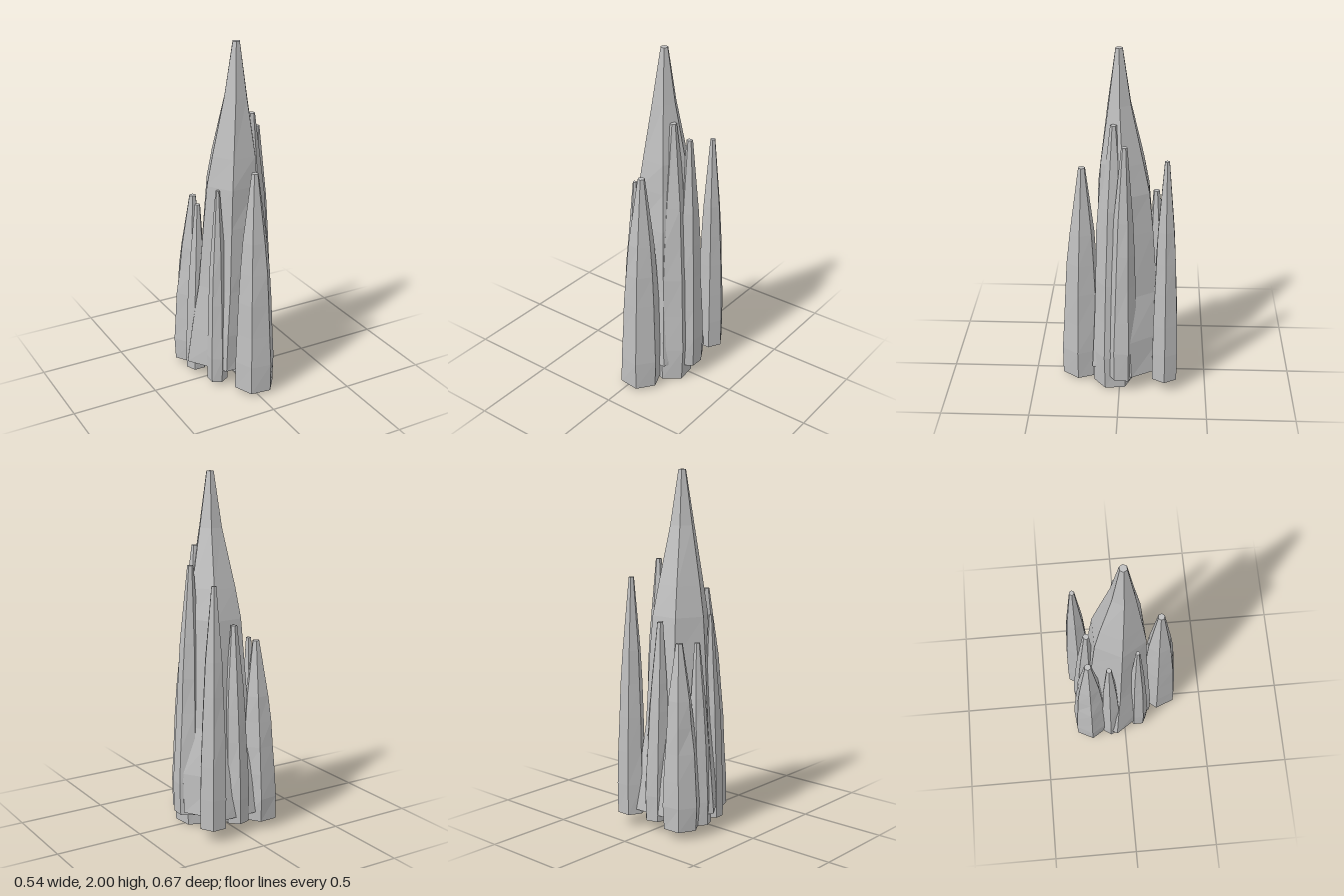
import * as THREE from 'three';

// Small seeded generator for the rough facets
function seeded(seed) {
  let s = seed;
  return () => {
    s = (s * 16807) % 2147483647;
    return s / 2147483647 - 0.5;
  };
}

// Rings of the narrow spires: [share of height, share of radius]
const SLIM = [[0, 0.98], [0.13, 1], [0.27, 0.91], [0.42, 0.82], [0.56, 0.7], [0.7, 0.54], [1, 0]];
// Rings of the great central spire
const GREAT = [[0, 1], [0.12, 0.92], [0.26, 0.78], [0.46, 0.67], [0.58, 0.59], [0.67, 0.49], [0.84, 0.21], [1, 0]];

// Six-sided spire: base centre, tip centre, heights, radii and twist in degrees
function spireGeometry({ base, tip, y0, y1, r, rTip, twist, rings = SLIM, rough = 0.1 }, seed) {
  const rand = seeded(seed);
  const n = rings.length - 1;
  const jitter = rings.map((_, k) =>
    Array.from({ length: 6 }, () => (k === n ? 1 : 1 + rough * rand())));
  const geo = new THREE.CylinderGeometry(1, 1, 1, 6, n, false, Math.PI / 6);
  const p = geo.attributes.position;
  for (let i = 0; i < p.count; i++) {
    const k = Math.round((p.getY(i) + 0.5) * n);
    const [h, share] = rings[k];
    const angle = Math.atan2(p.getZ(i), p.getX(i));
    const side = (Math.round(angle / (Math.PI / 3)) + 6) % 6;
    const out = Math.hypot(p.getX(i), p.getZ(i)) * (rTip + (r - rTip) * share) * jitter[k][side];
    const a = angle + THREE.MathUtils.degToRad(twist);
    const lean = 1 - share * share; // the axis leans in as the spire narrows
    p.setXYZ(i,
      base[0] + (tip[0] - base[0]) * lean + out * Math.cos(a),
      y0 + (y1 - y0) * h,
      base[1] + (tip[1] - base[1]) * lean + out * Math.sin(a));
  }
  const flat = geo.toNonIndexed(); // one normal per facet
  flat.computeVertexNormals();
  return flat;
}

export function createModel() {
  const group = new THREE.Group();
  group.name = 'rockSpires';
  const stone = new THREE.MeshStandardMaterial({ color: 0xbfbfbf });
  stone.name = 'greyStone';

  const spires = {
    centralSpire: { base: [0.003, -0.063], tip: [0.028, 0.008], y0: 0.1, y1: 2, r: 0.258, rTip: 0.022, twist: -2, rings: GREAT, rough: 0.07 },
    frontSpire: { base: [0.03, 0.23], tip: [0.03, 0.215], y0: 0.015, y1: 1.32, r: 0.119, rTip: 0.02, twist: 8, rough: 0.06 },
    innerRightSpire: { base: [0.11, 0.04], tip: [0.11, 0.035], y0: 0, y1: 1.6, r: 0.12, rTip: 0.018, twist: 22 },
    rightSpire: { base: [0.193, -0.013], tip: [0.175, -0.025], y0: 0.08, y1: 1.5, r: 0.082, rTip: 0.017, twist: 32 },
    backRightSpire: { base: [0.177, -0.261], tip: [0.168, -0.255], y0: 0.07, y1: 1.42, r: 0.083, rTip: 0.015, twist: 0, rough: 0.05 },
    backSpire: { base: [0.005, -0.235], tip: [0.005, -0.2], y0: 0.06, y1: 1.18, r: 0.074, rTip: 0.018, twist: -15 },
    backLeftSpire: { base: [-0.162, -0.215], tip: [-0.138, -0.204], y0: 0.045, y1: 1.08, r: 0.108, rTip: 0.02, twist: -3 },
    leftSpire: { base: [-0.188, -0.087], tip: [-0.166, -0.088], y0: 0.04, y1: 1.07, r: 0.064, rTip: 0.016, twist: 5 },
    frontLeftSpire: { base: [-0.138, 0.085], tip: [-0.124, 0.075], y0: 0.025, y1: 1.2, r: 0.06, rTip: 0.012, twist: 28 },
  };

  Object.entries(spires).forEach(([name, spec], i) => {
    const mesh = new THREE.Mesh(spireGeometry(spec, 911 + i * 7919), stone);
    mesh.name = name;
    group.add(mesh);
  });
  return group;
}
